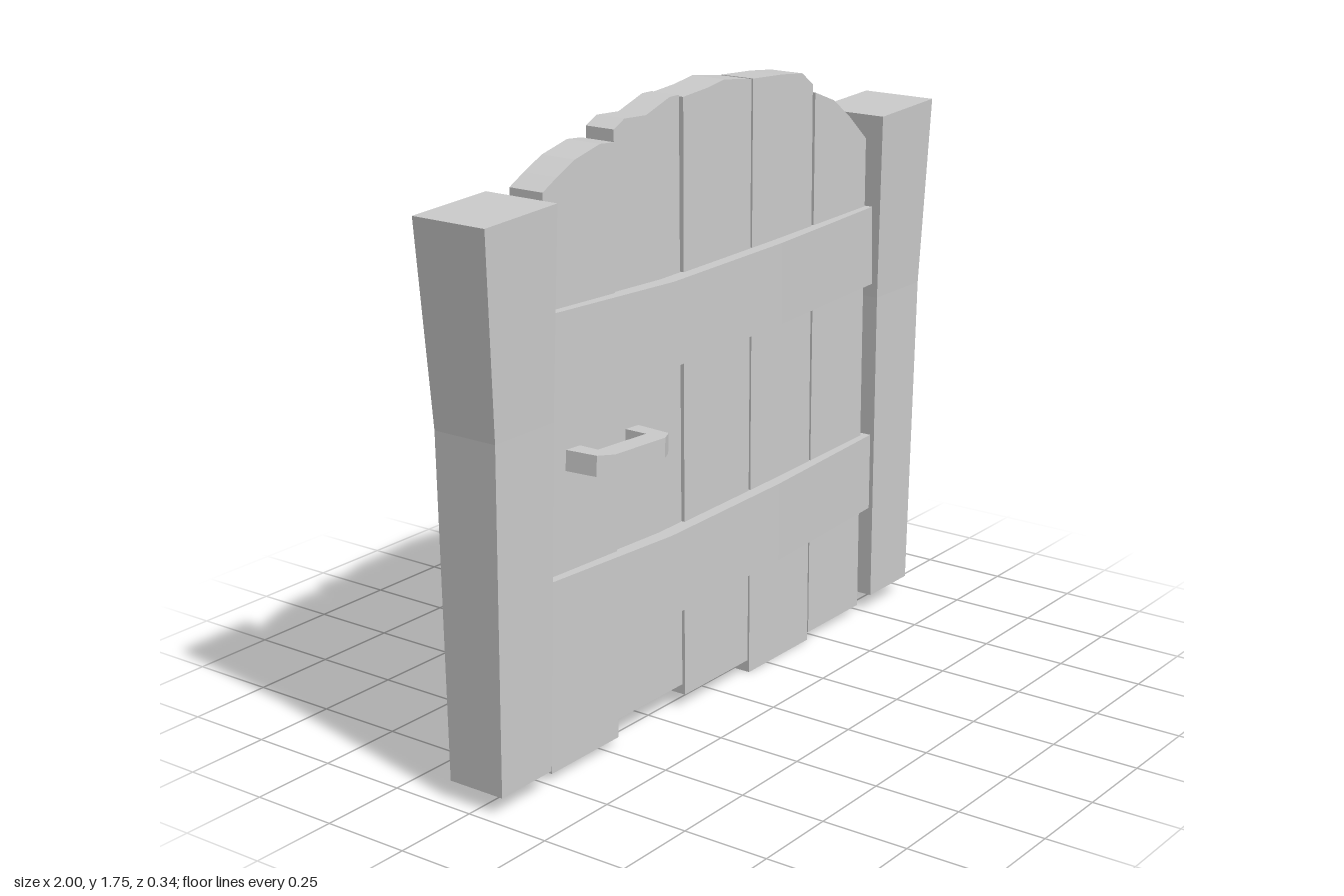
import * as THREE from 'three';

const material = new THREE.MeshStandardMaterial({ color: 0xcccccc, flatShading: true, side: THREE.DoubleSide });

// Extrudes an outline and centres its depth on z = 0
function slab(points, depth) {
  const shape = new THREE.Shape(points.map(([x, y]) => new THREE.Vector2(x, y)));
  return new THREE.ExtrudeGeometry(shape, { depth, bevelEnabled: false }).translate(0, 0, -depth / 2);
}

// Moves every vertex of a geometry by a rule
function reshape(geometry, rule) {
  const p = geometry.attributes.position;
  const v = new THREE.Vector3();
  for (let i = 0; i < p.count; i++) {
    rule(v.fromBufferAttribute(p, i));
    p.setXYZ(i, v.x, v.y, v.z);
  }
  geometry.computeVertexNormals();
  return geometry;
}

// Post flaring upwards; each level is [outer x, inner x, front z, back z, y]
function postGeometry(side, levels, slant) {
  return reshape(new THREE.BoxGeometry(2, 2, 2, 1, 2, 1), (v) => {
    const row = Math.round(v.y + 1);
    const [outer, inner, front, back, y] = levels[row];
    const isOuter = v.x * side > 0;
    v.set(side * (isOuter ? outer : inner), y + (row === 2 ? slant * Math.sign(v.x) : 0), v.z > 0 ? front : back);
  });
}

// Crossbar through the planks, bowed outwards and sagging a little
function railGeometry(x0, x1, y0, y1) {
  const sag = [0, -0.018, -0.011, 0];
  const front = [0.077, 0.089, 0.09, 0.074];
  const back = [-0.087, -0.102, -0.105, -0.091];
  return reshape(new THREE.BoxGeometry(2, 2, 2, 3, 1, 1), (v) => {
    const i = Math.round((v.x + 1) * 1.5);
    v.set(x0 + (x1 - x0) * i / 3, (v.y > 0 ? y1 : y0) + sag[i], v.z > 0 ? front[i] : back[i]);
  });
}

export function createModel() {
  const group = new THREE.Group();
  const add = (name, geometry) => {
    const mesh = new THREE.Mesh(geometry, material);
    mesh.name = name;
    group.add(mesh);
    return mesh;
  };

  // Posts
  add('rightPost', postGeometry(-1, [
    [0.965, 0.768, 0.082, -0.092, 0.053],
    [0.969, 0.746, 0.092, -0.105, 1.0],
    [1.0, 0.73, 0.103, -0.127, 1.551],
  ], 0.006));
  add('leftPost', postGeometry(1, [
    [0.962, 0.762, 0.082, -0.094, 0.053],
    [0.976, 0.748, 0.092, -0.104, 1.0],
    [1.0, 0.73, 0.111, -0.12, 1.551],
  ], 0.006));

  // Planks: bottom edge, then the worn top edge from -x to +x
  const planks = [
    { x: [-0.733, -0.45], y: 0.023, top: [[-0.726, 1.576], [-0.67, 1.605], [-0.6, 1.637], [-0.5, 1.66], [-0.443, 1.655]] },
    { x: [-0.445, -0.151], y: 0.07, depth: 0.09, top: [[-0.434, 1.685], [-0.39, 1.706], [-0.3, 1.701], [-0.2, 1.733], [-0.16, 1.733]] },
    { x: [-0.15, 0.152], y: 0.04, top: [[-0.152, 1.727], [-0.05, 1.735], [0.03, 1.747], [0.155, 1.73]] },
    { x: [0.16, 0.46], y: 0, top: [[0.163, 1.73], [0.3, 1.722], [0.4, 1.711], [0.452, 1.673]] },
    { x: [0.465, 0.733], y: 0.023, top: [[0.465, 1.648], [0.56, 1.612], [0.64, 1.555], [0.732, 1.475]] },
  ];
  planks.forEach(({ x, y, top, depth = 0.106 }, i) => {
    add(`plank${i + 1}`, slab([[x[0], y], [x[1], y], ...[...top].reverse()], depth));
  });

  // Crossbars
  add('upperRail', railGeometry(-0.74, 0.752, 1.04, 1.274));
  add('lowerRail', railGeometry(-0.76, 0.755, 0.337, 0.57));

  // Handles: bracket outline seen from above, laid flat and slightly tilted
  const bracket = [
    [-0.158, 0.04], [-0.146, 0.145], [-0.105, 0.172], [0.105, 0.172], [0.146, 0.152], [0.155, 0.04],
    [0.1, 0.04], [0.1, 0.112], [-0.1, 0.112], [-0.1, 0.04],
  ];
  const handleGeometry = slab(bracket, 0.056).rotateX(Math.PI / 2).rotateZ(-0.05);
  ['frontHandle', 'backHandle'].forEach((name, i) => {
    const handle = add(name, handleGeometry);
    handle.position.set(-0.498, 0.86, 0);
    handle.rotation.y = i * Math.PI;
  });

  return group;
}
